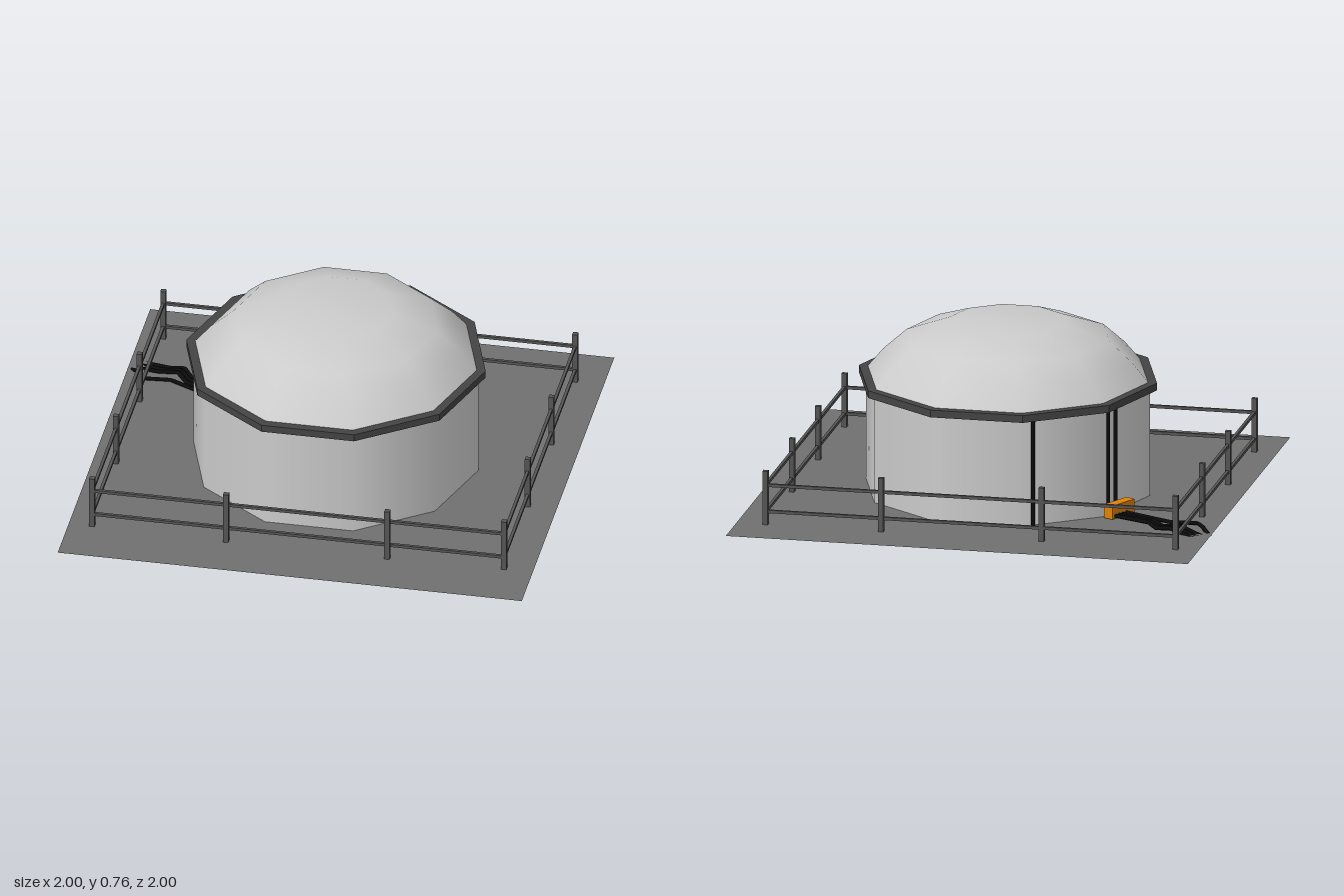
import * as THREE from 'three';

const SIDES = 10;
const START = Math.PI / 2; // puts a corner of the ten-sided plan on the x axis

const paint = (color, extra = {}) => new THREE.MeshStandardMaterial({ color, ...extra });

function add(parent, name, geometry, material, x = 0, y = 0, z = 0) {
  const mesh = new THREE.Mesh(geometry, material);
  mesh.name = name;
  mesh.position.set(x, y, z);
  parent.add(mesh);
  return mesh;
}

function lathe(points) {
  return new THREE.LatheGeometry(points.map(([r, y]) => new THREE.Vector2(r, y)), SIDES, START);
}

export function createModel() {
  const model = new THREE.Group();
  const shell = paint(0xcccccc, { side: THREE.DoubleSide });
  const slabGrey = paint(0x707070, { side: THREE.DoubleSide });
  const trim = paint(0x444444, { flatShading: true });
  const fenceGrey = paint(0x555555);
  const black = paint(0x0c0c0c);
  const orange = paint(0xdd8208);

  // Ground sheet
  const ground = new THREE.PlaneGeometry(2, 2).rotateX(-Math.PI / 2);
  add(model, 'ground', ground, slabGrey, 0, 0.025, 0);

  // Tank wall, rim and domed roof
  const wall = new THREE.CylinderGeometry(0.615, 0.615, 0.475, SIDES, 1, true, START);
  add(model, 'tankWall', wall, shell, 0, 0.2625, 0);
  add(model, 'rim', lathe([[0.6, 0.488], [0.645, 0.488], [0.645, 0.52], [0.6, 0.52], [0.6, 0.488]]), trim);
  add(model, 'domeRoof', lathe([[0.615, 0.51], [0.54, 0.6], [0.44, 0.69], [0.25, 0.757], [0, 0.76]]), shell);

  // Fence posts
  const fence = new THREE.Group();
  fence.name = 'fence';
  model.add(fence);
  const left = 0.875, right = -0.9, front = 0.755, back = -0.785;
  const postGeometry = new THREE.BoxGeometry(0.023, 0.24, 0.023);
  const post = (x, z) => add(fence, 'fencePost', postGeometry, fenceGrey, x, 0.14, z);
  for (const x of [left, right]) for (const z of [front, 0.24, -0.27, back]) post(x, z);
  for (const x of [-0.32, 0.375]) {
    post(x, front + 0.015);
    post(x, back);
  }

  // Fence rails, two per side
  const midX = (left + right) / 2, midZ = (front + back) / 2;
  const alongX = new THREE.BoxGeometry(left - right, 0.013, 0.013);
  const alongZ = new THREE.BoxGeometry(0.013, 0.013, front - back);
  for (const y of [0.082, 0.197]) {
    for (const z of [front, back]) add(fence, 'fenceRail', alongX, fenceGrey, midX, y, z);
    for (const x of [left, right]) add(fence, 'fenceRail', alongZ, fenceGrey, x, y, midZ);
  }

  // Pipes running down the wall
  const pipe = new THREE.CylinderGeometry(0.008, 0.008, 0.49, 8);
  for (const [x, z] of [[-0.535, -0.315], [-0.51, -0.34], [-0.235, -0.57]]) {
    add(model, 'wallPipe', pipe, black, x, 0.25, z);
  }

  // Junction box at the foot of the wall
  const box = add(model, 'junctionBox', new THREE.BoxGeometry(0.145, 0.06, 0.045), orange, -0.557, 0.058, -0.337);
  box.rotation.y = Math.atan2(-0.88, -0.47);

  // Loose cables trailing over the ground, the ends sinking through it
  const cablePaths = [
    [[-0.55, -0.39], [-0.71, -0.46], [-0.76, -0.54], [-0.82, -0.53], [-0.955, -0.595]],
    [[-0.56, -0.37], [-0.72, -0.45], [-0.77, -0.52], [-0.84, -0.51], [-0.97, -0.575]],
    [[-0.565, -0.35], [-0.73, -0.43], [-0.78, -0.5], [-0.86, -0.49], [-0.98, -0.55]],
    [[-0.575, -0.325], [-0.8, -0.435], [-0.915, -0.425], [-0.95, -0.48], [-0.993, -0.53]],
  ];
  for (const points of cablePaths) {
    const path = new THREE.CurvePath();
    const corners = points.map(([x, z], i) => new THREE.Vector3(x, i === points.length - 1 ? 0.012 : 0.04, z));
    for (let i = 1; i < corners.length; i++) path.add(new THREE.LineCurve3(corners[i - 1], corners[i]));
    add(model, 'cable', new THREE.TubeGeometry(path, 40, 0.009, 6), black);
  }

  return model;
}
